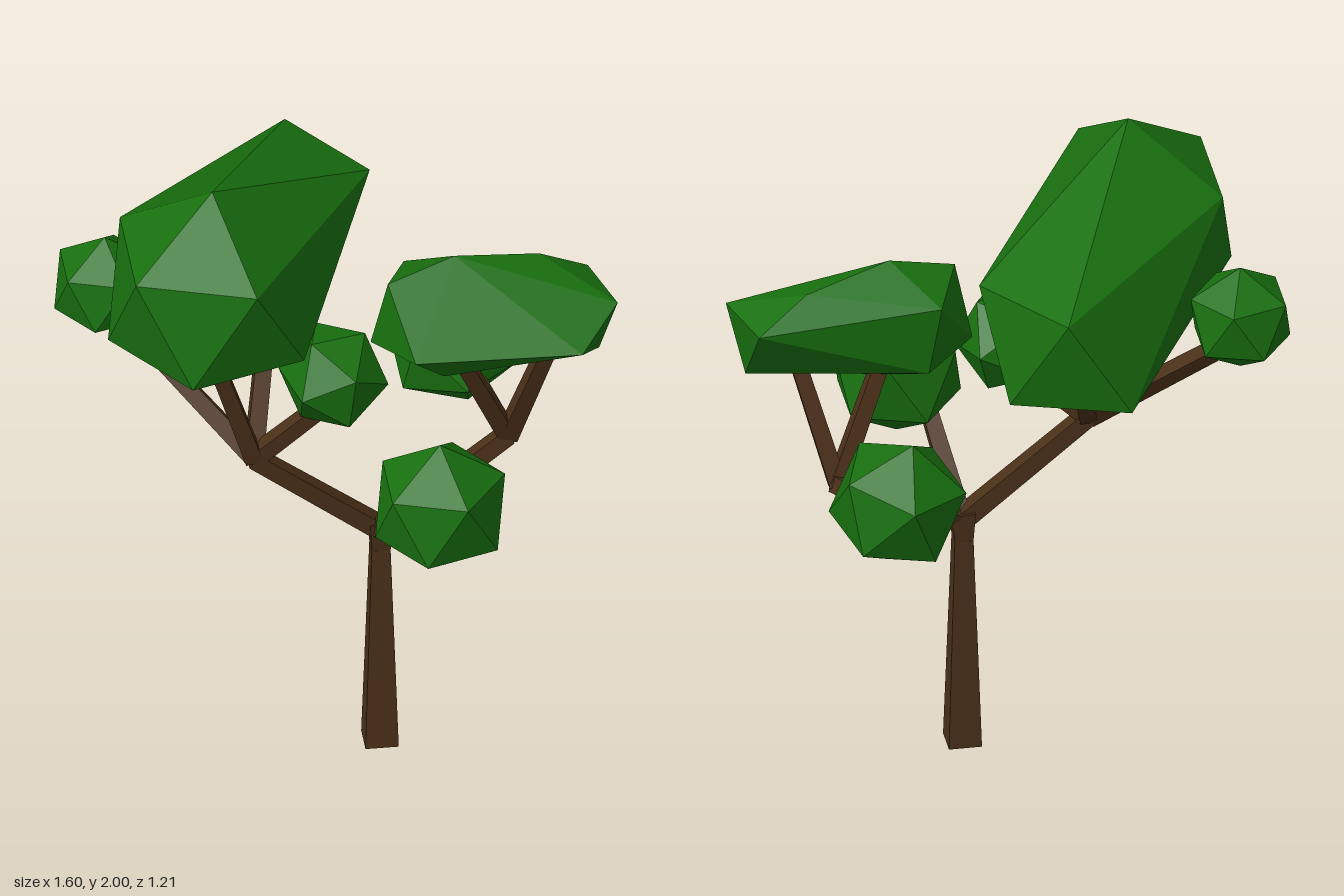
import * as THREE from 'three';
import { ConvexGeometry } from 'three/addons/geometries/ConvexGeometry.js';

const bark = new THREE.MeshStandardMaterial({ color: 0x4a3018, flatShading: true });
const leaf = new THREE.MeshStandardMaterial({ color: 0x18700f, flatShading: true });
const V = (p) => new THREE.Vector3(...p);

// Square, tapering limb between two points; widths are full side lengths
function limb(name, from, to, w0, w1) {
  const a = V(from), b = V(to), dir = b.clone().sub(a);
  const geo = new THREE.CylinderGeometry(w1 * Math.SQRT1_2, w0 * Math.SQRT1_2, dir.length(), 4);
  geo.rotateY(Math.PI / 4);
  const mesh = new THREE.Mesh(geo, bark);
  mesh.name = name;
  mesh.position.copy(a).add(b).multiplyScalar(0.5);
  mesh.quaternion.setFromUnitVectors(new THREE.Vector3(0, 1, 0), dir.normalize());
  return mesh;
}

// Twelve corners of an icosahedron standing on a corner
function icoPoints(r) {
  const pts = [new THREE.Vector3(0, r, 0), new THREE.Vector3(0, -r, 0)];
  for (let i = 0; i < 10; i++) {
    const t = (i * Math.PI) / 5;
    const y = i % 2 ? -0.4472 : 0.4472;
    pts.push(new THREE.Vector3(0.8944 * Math.cos(t), y, 0.8944 * Math.sin(t)).multiplyScalar(r));
  }
  return pts;
}

function foliage(name, points) {
  const mesh = new THREE.Mesh(new ConvexGeometry(points), leaf);
  mesh.name = name;
  return mesh;
}

function leafBall(name, center, r, tilt = [0, 0, 0]) {
  const e = new THREE.Euler(...tilt);
  return foliage(name, icoPoints(r).map((p) => p.applyEuler(e).add(V(center))));
}

export function createModel() {
  const tree = new THREE.Group();
  tree.name = 'tree';

  // Trunk and its fork
  const fork = [0.115, 0.74, 0.06];
  const leftNode = [-0.26, 1.035, 0.08];
  const rightNode = [0.5, 0.96, -0.05];
  tree.add(
    limb('trunk', [0.112, 0, 0.06], [0.112, 0.68, 0.06], 0.097, 0.055),
    limb('trunkFork', [0.112, 0.68, 0.06], [0.114, 0.77, 0.06], 0.055, 0.07),
  );

  // Main branches, then the twigs that carry the foliage
  const branches = [
    [fork, leftNode, 0.055, 0.05],
    [fork, rightNode, 0.055, 0.05],
    [fork, [0.17, 0.99, 0.38], 0.055, 0.045],
    [leftNode, [-0.61, 1.38, -0.18], 0.052, 0.045],
    [leftNode, [-0.38, 1.42, 0.13], 0.052, 0.045],
    [leftNode, [-0.15, 1.45, -0.32], 0.052, 0.045],
    [leftNode, [-0.04, 1.23, 0.1], 0.05, 0.045],
    [rightNode, [0.61, 1.36, 0.07], 0.052, 0.045],
    [rightNode, [0.35, 1.31, 0.05], 0.052, 0.045],
    [rightNode, [0.42, 1.03, -0.32], 0.05, 0.045],
  ];
  branches.forEach((b, i) => tree.add(limb(`branch${i + 1}`, ...b)));

  // Large crown: a leaf ball whose back corners are pulled backwards
  const pull = new THREE.Vector3(0.213, -0.073, -0.43);
  const heading = new THREE.Vector3(0.588, 0, -0.81);
  const crown = icoPoints(0.34).map((p) => {
    if (p.dot(heading) > 0.05) p.add(pull);
    return p.add(V([-0.385, 1.66, 0.11]));
  });
  tree.add(foliage('largeCrown', crown));

  // Flat crown stretched sideways
  tree.add(foliage('flatCrown', [
    [0.335, 1.65, 0.02], [0.135, 1.595, 0.06], [0.205, 1.55, -0.117],
    [0.59, 1.595, -0.04], [0.74, 1.5, -0.1], [0.8, 1.505, 0.11],
    [0.68, 1.42, 0.24], [0.755, 1.305, 0.04], [0.195, 1.42, 0.225],
    [0.09, 1.37, 0.02], [0.3, 1.25, 0.05], [0.24, 1.33, -0.1],
  ].map(V)));

  // Small leaf balls
  tree.add(
    leafBall('frontLeafBall', [0.24, 1.057, 0.425], 0.212),
    leafBall('sideLeafBall', [-0.658, 1.487, -0.205], 0.164),
    leafBall('middleLeafBall', [-0.03, 1.315, 0.095], 0.163, [0.15, 0.3, 0.45]),
    leafBall('backLeafBall', [0.385, 1.08, -0.39], 0.208, [-0.21, 0.3, 0.2]),
  );
  return tree;
}
